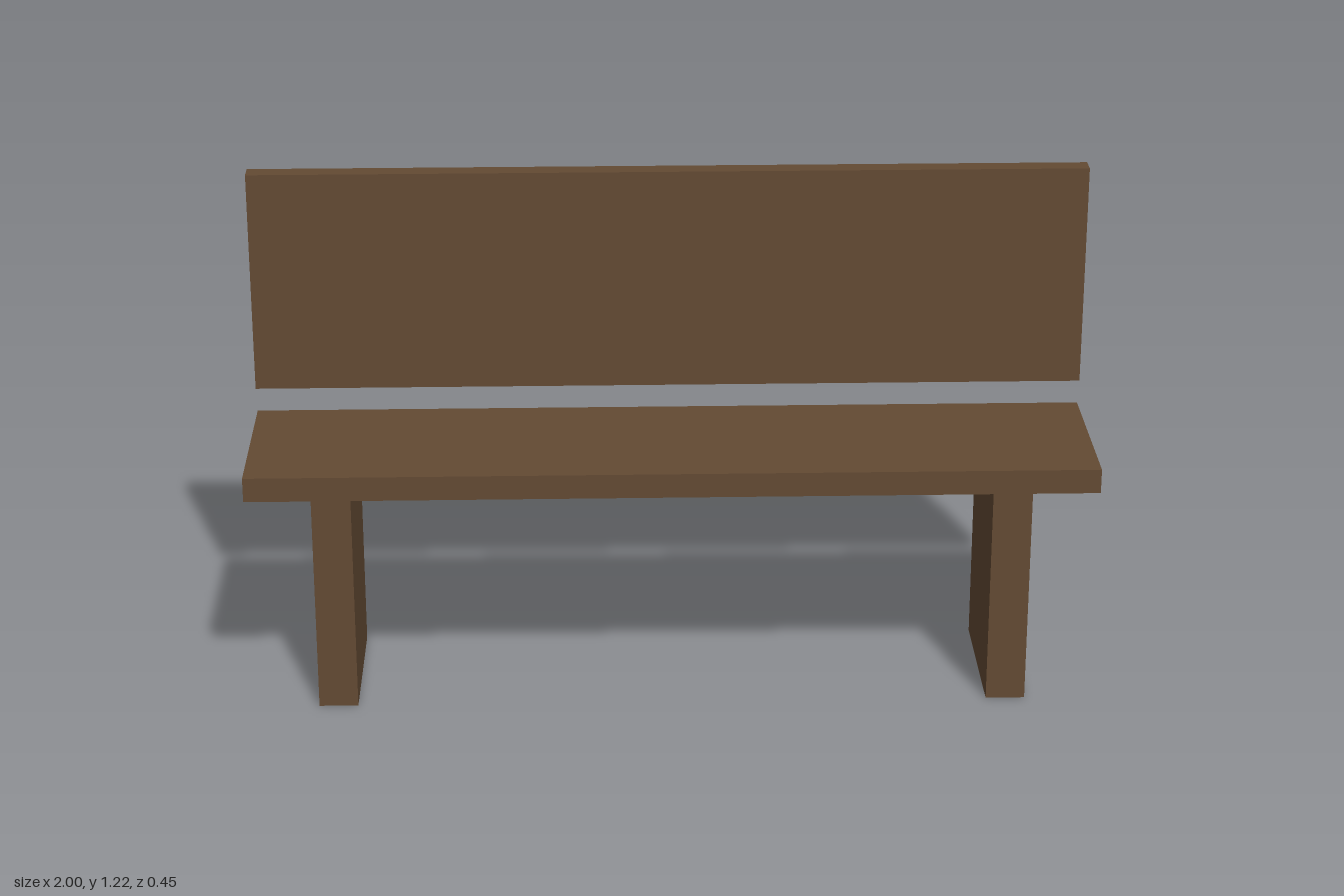
import * as THREE from 'three';

const wood = new THREE.MeshStandardMaterial({ color: 0x634a33, side: THREE.DoubleSide });
wood.name = 'brown wood';

// Box given by its minimum and maximum corners
function block(name, min, max) {
  const size = max.map((v, i) => v - min[i]);
  const mesh = new THREE.Mesh(new THREE.BoxGeometry(...size), wood);
  mesh.name = name;
  mesh.position.set(...max.map((v, i) => (v + min[i]) / 2));
  return mesh;
}

// Hollow leg: four walls, open at the floor and closed above by the seat
function leg(name, x0, x1) {
  const mesh = block(name, [x0, 0, -0.2], [x1, 0.555, 0.177]);
  const index = Array.from(mesh.geometry.index.array);
  index.splice(12, 12); // drop the top and bottom faces
  mesh.geometry.setIndex(index);
  mesh.geometry.clearGroups();
  return mesh;
}

export function createModel() {
  const bench = new THREE.Group();
  bench.name = 'bench';

  // Seat plank and floating backrest
  bench.add(block('seat', [-1, 0.555, -0.2], [1, 0.614, 0.225]));
  bench.add(block('backrest', [-1, 0.68, -0.225], [1, 1.221, -0.177]));

  // Slab legs
  bench.add(leg('leftLeg', 0.755, 0.848));
  bench.add(leg('rightLeg', -0.848, -0.755));

  return bench;
}
